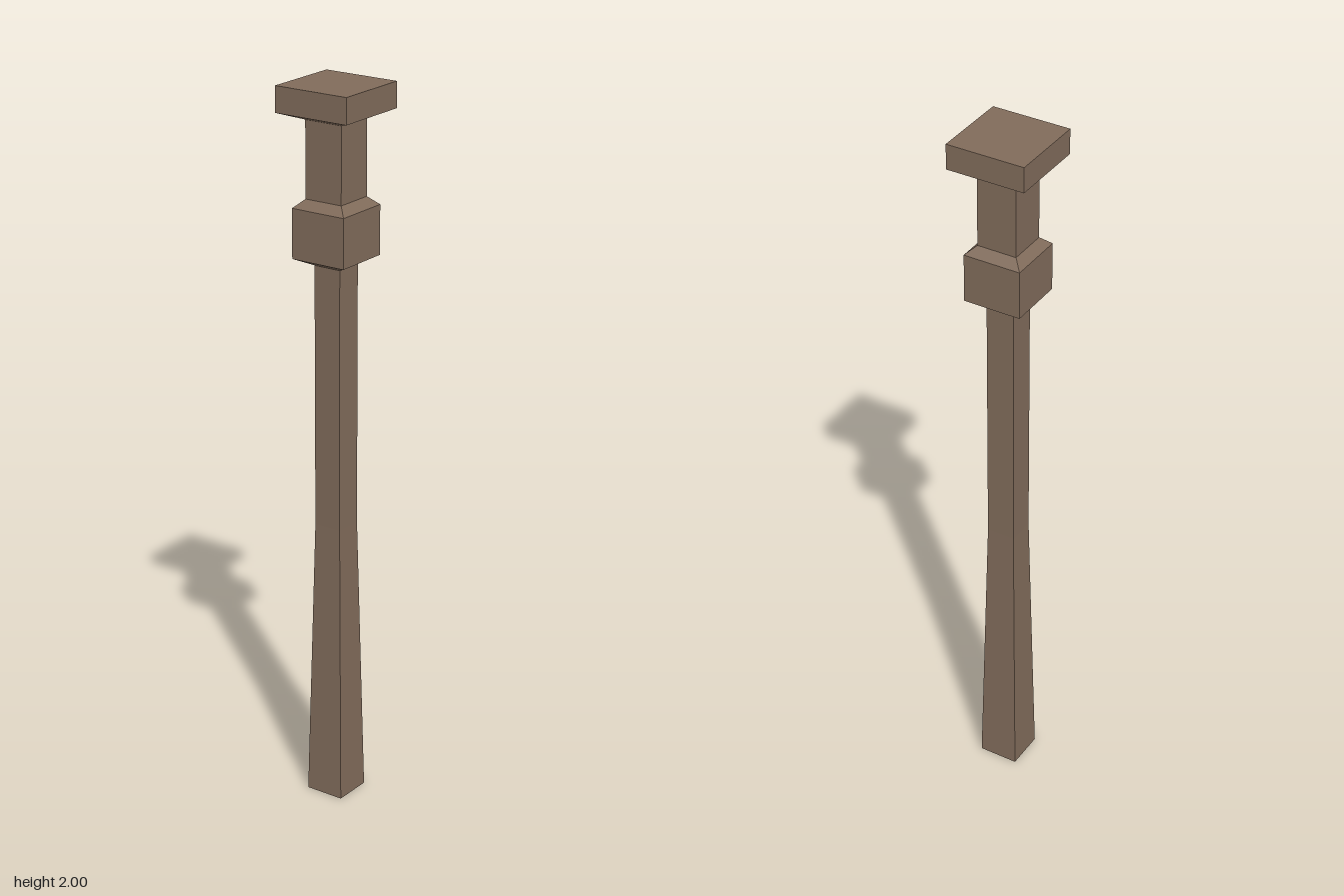
import * as THREE from 'three';

// Square-section loft: profile is a list of [half width, height], bottom to top
function squareLoft(name, profile, material) {
  const points = profile.map(([half, y]) => new THREE.Vector2(half * Math.SQRT2, y));
  const geometry = new THREE.LatheGeometry(points, 4, Math.PI / 4).toNonIndexed();
  geometry.computeVertexNormals();
  const mesh = new THREE.Mesh(geometry, material);
  mesh.name = name;
  return mesh;
}

export function createModel() {
  const group = new THREE.Group();
  group.name = 'squarePost';

  const wood = new THREE.MeshStandardMaterial({ color: 0x806b5a });
  wood.name = 'brown wood';
  wood.flatShading = true;

  // Shaft, closed at the foot and flaring below the middle
  group.add(squareLoft('shaft', [[0, 0], [0.056, 0], [0.04, 0.8], [0.04, 1.525]], wood));

  // Collar block with sloped edges above and below
  group.add(squareLoft('collar', [[0.04, 1.525], [0.081, 1.545], [0.081, 1.68], [0.056, 1.703]], wood));

  // Short neck between collar and cap
  group.add(squareLoft('neck', [[0.056, 1.703], [0.056, 1.91]], wood));

  // Wide cap with a sloped underside and flat top
  group.add(squareLoft('cap', [[0.056, 1.91], [0.11, 1.93], [0.11, 2], [0, 2]], wood));

  return group;
}
